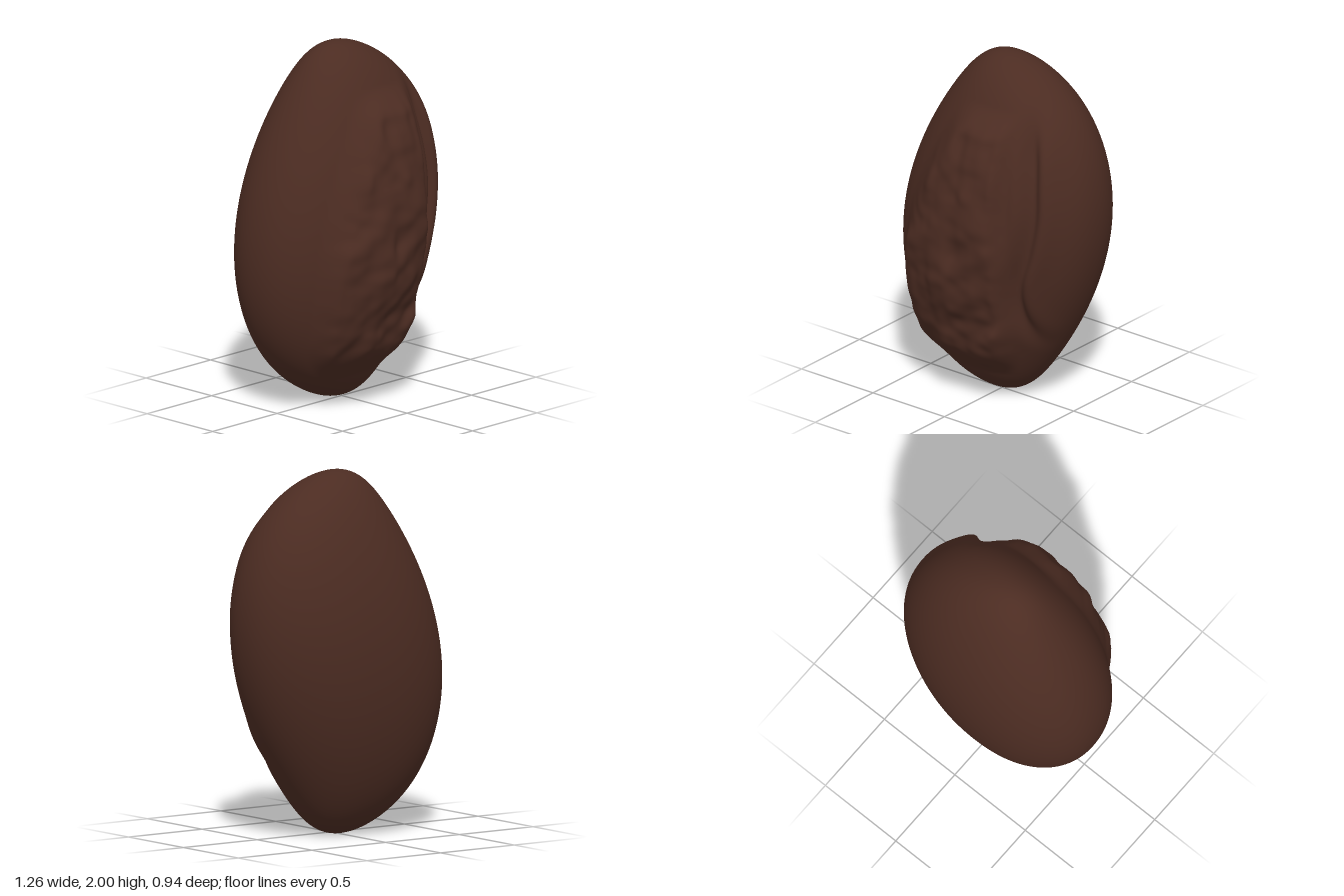
import * as THREE from 'three';
import { mergeVertices } from 'three/addons/utils/BufferGeometryUtils.js';

const smooth = THREE.MathUtils.smoothstep;

// Small seeded value noise, -1..1
function hash(i, j) {
  let n = (Math.imul(i, 374761393) + Math.imul(j, 668265263)) | 0;
  n = Math.imul(n ^ (n >>> 13), 1274126177);
  return ((n ^ (n >>> 16)) >>> 0) / 2147483648 - 1;
}
function noise(x, y) {
  const i = Math.floor(x), j = Math.floor(y);
  const u = smooth(x - i, 0, 1), v = smooth(y - j, 0, 1);
  const a = hash(i, j) * (1 - u) + hash(i + 1, j) * u;
  const b = hash(i, j + 1) * (1 - u) + hash(i + 1, j + 1) * u;
  return a * (1 - v) + b * v;
}

// Smooth x(y) curve through [y, x] points
function line(points) {
  const curve = new THREE.SplineCurve(points.map(([y, x]) => new THREE.Vector2(y, x)));
  const samples = curve.getPoints(80);
  return (y) => {
    const k = samples.findIndex((p) => p.x >= y);
    if (k === 0) return samples[0].y;
    if (k < 0) return samples[80].y;
    const p = samples[k - 1], q = samples[k];
    return p.y + (q.y - p.y) * (y - p.x) / (q.x - p.x);
  };
}
const patchLeft = line([[0.2, -0.3], [0.4, -0.4], [0.8, -0.42], [1.1, -0.36], [1.4, -0.24], [1.75, -0.06]]);
const patchRight = line([[0.2, 0.17], [0.45, 0.25], [0.8, 0.27], [1.2, 0.26], [1.75, 0.24]]);
const grooveLine = line([[0.3, 0.39], [0.5, 0.34], [0.65, 0.315], [0.8, 0.325], [1.0, 0.38], [1.2, 0.41], [1.4, 0.4], [1.6, 0.37], [1.8, 0.33]]);

// Raised wrinkled patch: upright ribs above, slanting folds below
function patchHeight(x, y) {
  const high = smooth(y, 0.75, 1.25);
  const mask = smooth(x, patchLeft(y) - 0.04 - 0.03 * high, patchLeft(y) + 0.05 + 0.06 * high)
    * (1 - smooth(x, patchRight(y) - 0.04, patchRight(y) + 0.05))
    * smooth(y, 0.16, 0.36) * (1 - smooth(y, 1.63, 1.78));
  if (mask === 0) return 0;
  const folds = noise((x + y * 0.3) * 6, (y - x * 0.7) * 9.5);
  const ribs = noise(x * 15 + 40, y * 4.5);
  const fine = noise(x * 13 + 7, y * 17);
  return mask * (0.07 + folds * (0.022 - 0.013 * high) + ribs * 0.009 + fine * 0.006);
}

// Long curved groove with a soft lip on each side
function grooveHeight(x, y) {
  const fade = smooth(y, 0.3, 0.7) * (1 - smooth(y, 1.5, 1.85));
  const d = x - grooveLine(y);
  return fade * (0.018 * Math.exp(-(((d - 0.085) / 0.045) ** 2))
    + 0.01 * Math.exp(-(((d + 0.08) / 0.04) ** 2))
    - 0.05 * Math.exp(-((d / 0.042) ** 2)));
}

export function createModel() {
  const group = new THREE.Group();
  const brown = new THREE.MeshStandardMaterial({ color: 0x4c2c22 });
  brown.name = 'dark brown';

  // Leaning, flattened oval body with slightly squared cross-sections
  let geometry = new THREE.SphereGeometry(1, 240, 190);
  geometry.deleteAttribute('uv');
  geometry.deleteAttribute('normal');
  geometry = mergeVertices(geometry, 1e-5);
  const pos = geometry.attributes.position;
  const power = 2.12;
  for (let i = 0; i < pos.count; i++) {
    const t = pos.getY(i);
    const s = Math.sqrt(Math.max(0, 1 - t * t));
    const angle = Math.atan2(pos.getZ(i), pos.getX(i));
    const c = Math.cos(angle), n = Math.sin(angle);
    const r = s / (Math.abs(c) ** power + Math.abs(n) ** power) ** (1 / power);
    const lean = 0.14 * t * (1 - 0.65 * t ** 8);
    const x = r * c * (0.62 - 0.07 * t * t) + lean * s;
    const y = t + 1;
    let z = r * n * (0.43 - (n > 0 ? 0.01 : 0.04) * t * t) - 0.05;
    if (n > 0) z += smooth(r * n, 0, 0.25) * (patchHeight(x, y) + grooveHeight(x, y));
    pos.setXYZ(i, x, y, z);
  }
  geometry.computeVertexNormals();

  const body = new THREE.Mesh(geometry, brown);
  body.name = 'wrinkledBean';
  group.add(body);
  return group;
}
